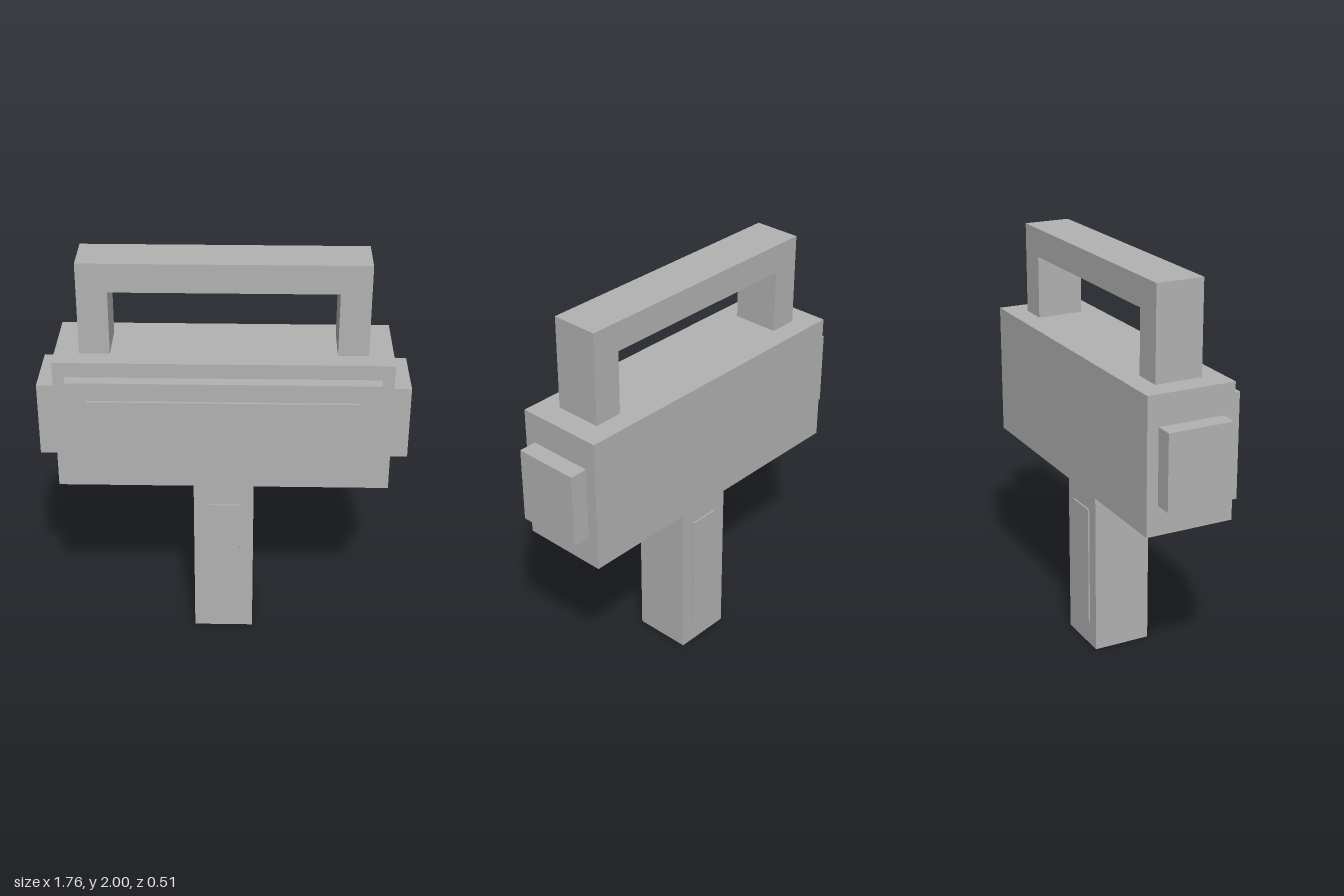
import * as THREE from 'three';

export function createModel() {
  const model = new THREE.Group();
  model.name = 'handheldDevice';
  const grey = new THREE.MeshStandardMaterial({ color: 0xb2b2b2 });
  grey.name = 'grey';

  // Box from its minimum and maximum on each axis
  function box(name, [x0, x1], [y0, y1], [z0, z1]) {
    const mesh = new THREE.Mesh(new THREE.BoxGeometry(x1 - x0, y1 - y0, z1 - z0), grey);
    mesh.position.set((x0 + x1) / 2, (y0 + y1) / 2, (z0 + z1) / 2);
    mesh.name = name;
    model.add(mesh);
  }

  // Main housing and its stepped front
  box('housing', [-0.794, 0.794], [0.89, 1.548], [-0.256, 0.182]);
  box('frontFrame', [-0.735, 0.735], [0.959, 1.475], [0.182, 0.243]);
  box('frontPanel', [-0.633, 0.633], [1.05, 1.384], [0.243, 0.256]);

  // Blocks on both ends
  box('leftEndBlock', [0.794, 0.882], [1.033, 1.4], [-0.2, 0.125]);
  box('rightEndBlock', [-0.882, -0.794], [1.033, 1.4], [-0.2, 0.125]);

  // Lower grip with a thin inlay on front and back
  box('grip', [-0.147, 0.147], [0, 0.89], [-0.183, 0.109]);
  box('frontGripInlay', [-0.081, 0.081], [0.12, 0.737], [0.109, 0.116]);
  box('backGripInlay', [-0.081, 0.081], [0.12, 0.737], [-0.19, -0.183]);

  // Carrying handle: one arch-shaped outline, extruded in depth
  const arch = new THREE.Shape([
    [-0.676, 1.548], [-0.532, 1.548], [-0.532, 1.859], [0.532, 1.859],
    [0.532, 1.548], [0.676, 1.548], [0.676, 2], [-0.676, 2],
  ].map(([x, y]) => new THREE.Vector2(x, y)));
  const handle = new THREE.Mesh(
    new THREE.ExtrudeGeometry(arch, { depth: 0.234, bevelEnabled: false }), grey);
  handle.position.z = -0.153;
  handle.name = 'topHandle';
  model.add(handle);

  return model;
}
